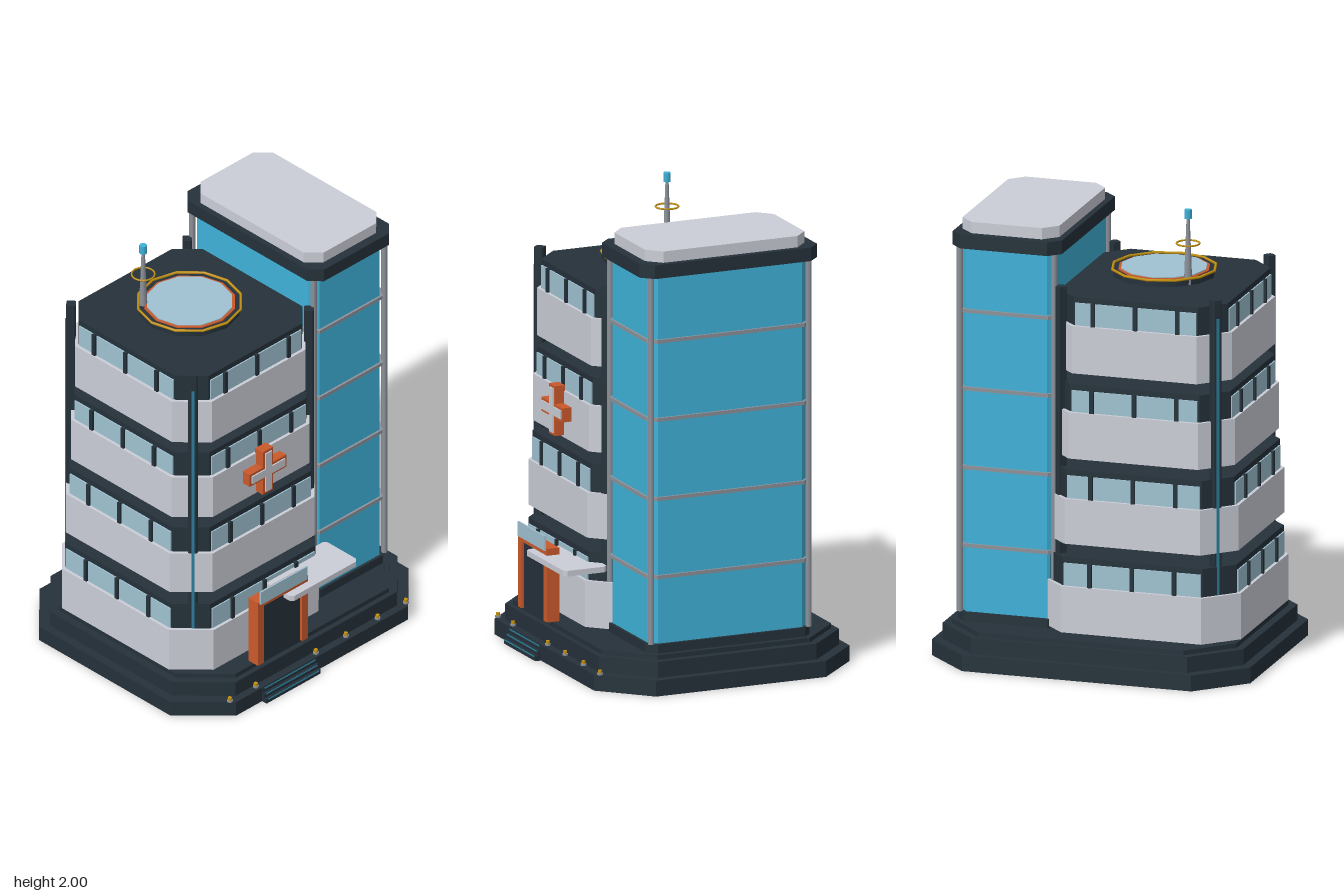
import * as THREE from 'three';

const mat = (name, color) => {
  const m = new THREE.MeshStandardMaterial({ color });
  m.name = name;
  return m;
};

export function createModel() {
  const dark = mat('dark slate', 0x25313a), white = mat('pale wall', 0xcbced7);
  const blue = mat('blue glass', 0x3fb2d9), pale = mat('pale glass', 0xa0c2d2);
  const orange = mat('orange', 0xcb5a2c), gold = mat('gold', 0xc4920e);
  const grey = mat('grey metal', 0x8d929a), teal = mat('teal strip', 0x2b7f9c);
  const model = new THREE.Group();
  model.name = 'hospital';
  const CZ = -0.015; // centre line of the buildings

  const add = (name, geo, m, x = 0, y = 0, z = 0, parent = model) => {
    const mesh = new THREE.Mesh(geo, m);
    mesh.name = name;
    mesh.position.set(x, y, z);
    parent.add(mesh);
    return mesh;
  };
  // Box given by its extents
  const box = (name, m, x0, x1, y0, y1, z0, z1, parent) =>
    add(name, new THREE.BoxGeometry(x1 - x0, y1 - y0, z1 - z0), m,
      (x0 + x1) / 2, (y0 + y1) / 2, (z0 + z1) / 2, parent);
  // Upright prism with four cut corners
  const prism = (name, m, x, z, hx, hz, c, y0, y1, parent) => {
    const s = new THREE.Shape([[-hx + c, -hz], [hx - c, -hz], [hx, -hz + c], [hx, hz - c],
      [hx - c, hz], [-hx + c, hz], [-hx, hz - c], [-hx, -hz + c]].map(p => new THREE.Vector2(...p)));
    const g = new THREE.ExtrudeGeometry(s, { depth: y1 - y0, bevelEnabled: false }).rotateX(-Math.PI / 2);
    return add(name, g, m, x, y0, z, parent);
  };
  const ring = (name, m, r, t, seg, x, y, z) =>
    add(name, new THREE.TorusGeometry(r, t, 6, seg).rotateX(Math.PI / 2), m, x, y, z);

  // Stepped base
  prism('baseLower', dark, 0, CZ, 0.715, 0.598, 0.2, 0, 0.07);
  prism('baseMiddle', dark, 0, CZ, 0.675, 0.562, 0.19, 0.07, 0.14);
  prism('baseUpper', dark, 0, CZ, 0.64, 0.538, 0.18, 0.14, 0.16);

  // Entrance steps with lit edges
  for (let i = 0; i < 3; i++) {
    const z = 0.61 - i * 0.012, y = 0.022 * (i + 1);
    box('entranceStep', dark, -0.36, -0.035, y - 0.022, y, 0.5, z);
    box('stepLight', teal, -0.35, -0.045, y - 0.006, y - 0.001, z, z + 0.003);
  }

  // Base lamps
  for (const x of [-0.53, -0.375, -0.015, 0.165, 0.355, 0.525]) {
    add('lampFoot', new THREE.CylinderGeometry(0.013, 0.013, 0.008, 8), grey, x, 0.074, 0.56);
    add('lamp', new THREE.CylinderGeometry(0.009, 0.009, 0.014, 8), gold, x, 0.084, 0.56);
  }

  // Stacked floors: wall band, dark window storey, panes and mullions
  const floors = [
    [0.17, 0.375, 0.50, 0.45, 0.46, 0.135], [0.56, 0.76, 0.885, 0.435, 0.445, 0.13],
    [0.935, 1.14, 1.26, 0.415, 0.43, 0.125], [1.31, 1.52, 1.645, 0.40, 0.415, 0.12]];
  floors.forEach(([y0, y1, y2, hx, hz, c], i) => {
    const floor = new THREE.Group();
    floor.name = 'floor' + (i + 1);
    floor.position.set(-0.2, 0, CZ);
    model.add(floor);
    const cx = hx - 0.02, cz = hz - 0.02;
    prism('wallBand', white, 0, 0, hx, hz, c, y0, y1, floor);
    prism('windowStorey', dark, 0, 0, cx, cz, c - 0.02, y1, y2, floor);
    for (const side of [0, 1, 2]) { // front, back, left flank
      const face = new THREE.Group();
      face.name = ['frontWindows', 'backWindows', 'flankWindows'][side];
      face.rotation.y = [0, Math.PI, -Math.PI / 2][side];
      floor.add(face);
      const d = side < 2 ? cz : cx, w = (side < 2 ? cx : cz) - c + 0.012;
      box('pane', pale, -w, w, y1, y2 - 0.025, d, d + 0.006, face);
      for (const x of [-0.19, 0, 0.19])
        box('mullion', dark, x - 0.009, x + 0.009, y1, y2 - 0.02, d, d + 0.016, face);
    }
  });

  // Corner pillars with a light strip on the outer edge
  for (const sx of [-1, 1]) for (const sz of [-1, 1]) {
    const x = -0.202 + sx * 0.348, z = CZ + sz * 0.37;
    const p = new THREE.Group();
    p.name = 'cornerPillar';
    p.position.set(x, 0, z);
    p.rotation.y = Math.atan2(sx, sz);
    model.add(p);
    prism('pillar', dark, 0, 0, 0.021, 0.021, 0.006, 0.16, 1.68, p);
    if (sx < 0) box('pillarLight', teal, -0.006, 0.006, 0.18, 1.6, 0.018, 0.026, p);
  }

  // Link between the buildings
  box('linkFloor', grey, -0.03, 0.2, 1.265, 1.28, -0.1, 0.07);
  box('linkGlass', blue, -0.02, 0.2, 1.28, 1.312, -0.09, 0.06);

  // Roof pad
  const pad = (name, m, r, y0, y1) =>
    add(name, new THREE.CylinderGeometry(r, r, y1 - y0, 12), m, -0.2, (y0 + y1) / 2, -0.02);
  pad('padBase', dark, 0.222, 1.668, 1.694);
  pad('padRim', orange, 0.2, 1.694, 1.699);
  pad('padGlass', pale, 0.188, 1.694, 1.703);
  ring('padRing', gold, 0.226, 0.006, 12, -0.2, 1.698, -0.02);

  // Roof mast
  add('mast', new THREE.CylinderGeometry(0.007, 0.019, 0.3, 8), grey, -0.35, 1.82, -0.15);
  ring('mastRing', gold, 0.05, 0.004, 16, -0.35, 1.85, -0.15);
  add('mastTip', new THREE.CylinderGeometry(0.017, 0.017, 0.04, 8), blue, -0.35, 1.98, -0.15);

  // Glass tower
  const TX = 0.387;
  prism('towerPlinth', dark, TX, CZ, 0.228, 0.385, 0.04, 0.16, 0.2);
  prism('towerGlass', blue, TX, CZ, 0.215, 0.372, 0.035, 0.2, 1.82);
  prism('towerCrown', dark, TX, CZ, 0.245, 0.415, 0.05, 1.82, 1.88);
  prism('towerRoof', white, TX, CZ, 0.218, 0.374, 0.06, 1.88, 1.93);
  for (const y of [0.495, 0.84, 1.19, 1.535])
    prism('towerBand', grey, TX, CZ, 0.225, 0.382, 0.037, y - 0.008, y + 0.008);
  for (const sx of [-1, 1]) for (const sz of [-1, 1])
    add('towerPost', new THREE.CylinderGeometry(0.014, 0.014, 1.62, 8), grey,
      TX + sx * 0.212, 1.01, CZ + sz * 0.369);

  // Entrance portal
  box('doorPostRight', orange, -0.35, -0.315, 0.16, 0.455, 0.49, 0.548);
  box('doorPostLeft', orange, -0.085, -0.05, 0.16, 0.455, 0.49, 0.548);
  box('doorLintel', orange, -0.35, -0.05, 0.455, 0.485, 0.49, 0.548);
  box('door', dark, -0.315, -0.085, 0.16, 0.455, 0.497, 0.535);
  box('doorGlassPanel', pale, -0.34, -0.06, 0.475, 0.54, 0.548, 0.556);
  prism('canopy', white, 0.015, 0.485, 0.2, 0.102, 0.015, 0.43, 0.455);

  // Cross on the third floor
  const cross = (name, m, l, w, z0, z1) => {
    const s = new THREE.Shape([[-w, -l], [w, -l], [w, -w], [l, -w], [l, w], [w, w], [w, l],
      [-w, l], [-w, w], [-l, w], [-l, -w], [-w, -w]].map(p => new THREE.Vector2(...p)));
    add(name, new THREE.ExtrudeGeometry(s, { depth: z1 - z0, bevelEnabled: false }), m, -0.2, 1.055, z0);
  };
  cross('crossFrame', orange, 0.11, 0.031, 0.41, 0.457);
  cross('crossFace', white, 0.098, 0.019, 0.457, 0.463);

  return model;
}
